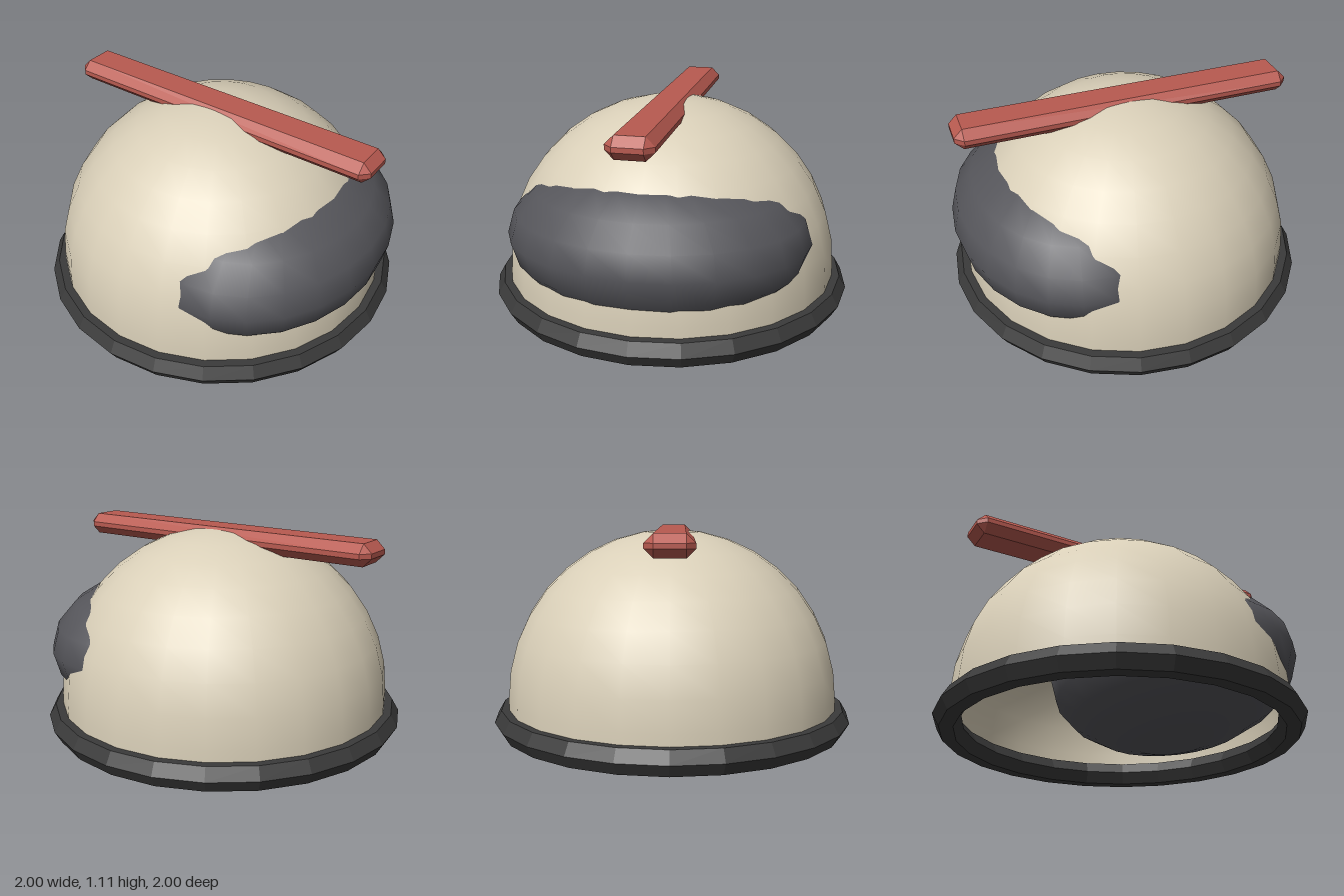
import * as THREE from 'three';
import { ConvexGeometry } from 'three/addons/geometries/ConvexGeometry.js';

const SIDES = 24;
const DOME_Y = 0.19;

function part(parent, name, geometry, color, options = {}) {
  const mesh = new THREE.Mesh(geometry, new THREE.MeshStandardMaterial({ color, ...options }));
  mesh.name = name;
  parent.add(mesh);
  return mesh;
}

// Half-round shell with a short straight skirt reaching down into the rim
function domeGeometry(radius) {
  const points = [new THREE.Vector2(radius, 0.065)];
  const rows = 9;
  for (let i = 0; i <= rows; i++) {
    const a = (i / rows) * Math.PI / 2;
    points.push(new THREE.Vector2(i === rows ? 0 : radius * Math.cos(a), DOME_Y + radius * Math.sin(a)));
  }
  return new THREE.LatheGeometry(points, SIDES);
}

// Box with every edge and corner cut off by the same amount
function chamferBox(x, y, z, cut) {
  const points = [];
  for (const sx of [-1, 1]) for (const sy of [-1, 1]) for (const sz of [-1, 1]) {
    points.push(
      new THREE.Vector3(sx * x, sy * (y - cut), sz * (z - cut)),
      new THREE.Vector3(sx * (x - cut), sy * y, sz * (z - cut)),
      new THREE.Vector3(sx * (x - cut), sy * (y - cut), sz * z)
    );
  }
  return new ConvexGeometry(points);
}

export function createModel() {
  const helmet = new THREE.Group();
  helmet.name = 'helmet';

  // Dome: outer skin and lining
  const cream = 0xd9cfb8;
  part(helmet, 'domeShell', domeGeometry(0.92), cream);
  part(helmet, 'domeLining', domeGeometry(0.9), cream, { side: THREE.BackSide });

  // Rim: six-sided ring around the opening
  const rim = part(helmet, 'rim', new THREE.TorusGeometry(0.925, 0.075, 6, SIDES), 0x3a3a3a, { flatShading: true });
  rim.rotation.x = Math.PI / 2;
  rim.position.y = 0.065;

  // Visor: wide ellipsoid pushed through the front of the dome
  const visor = part(helmet, 'visor', new THREE.SphereGeometry(1, SIDES, 10), 0x55555a);
  visor.scale.set(0.815, 0.42, 0.65);
  visor.position.set(0, 0.44, 0.325);

  // Crest: bevelled bar running front to back over the top
  const crest = part(helmet, 'crestBar', chamferBox(0.12, 0.058, 0.92, 0.045), 0xb85a50, { flatShading: true });
  crest.position.y = 1.057;

  return helmet;
}
